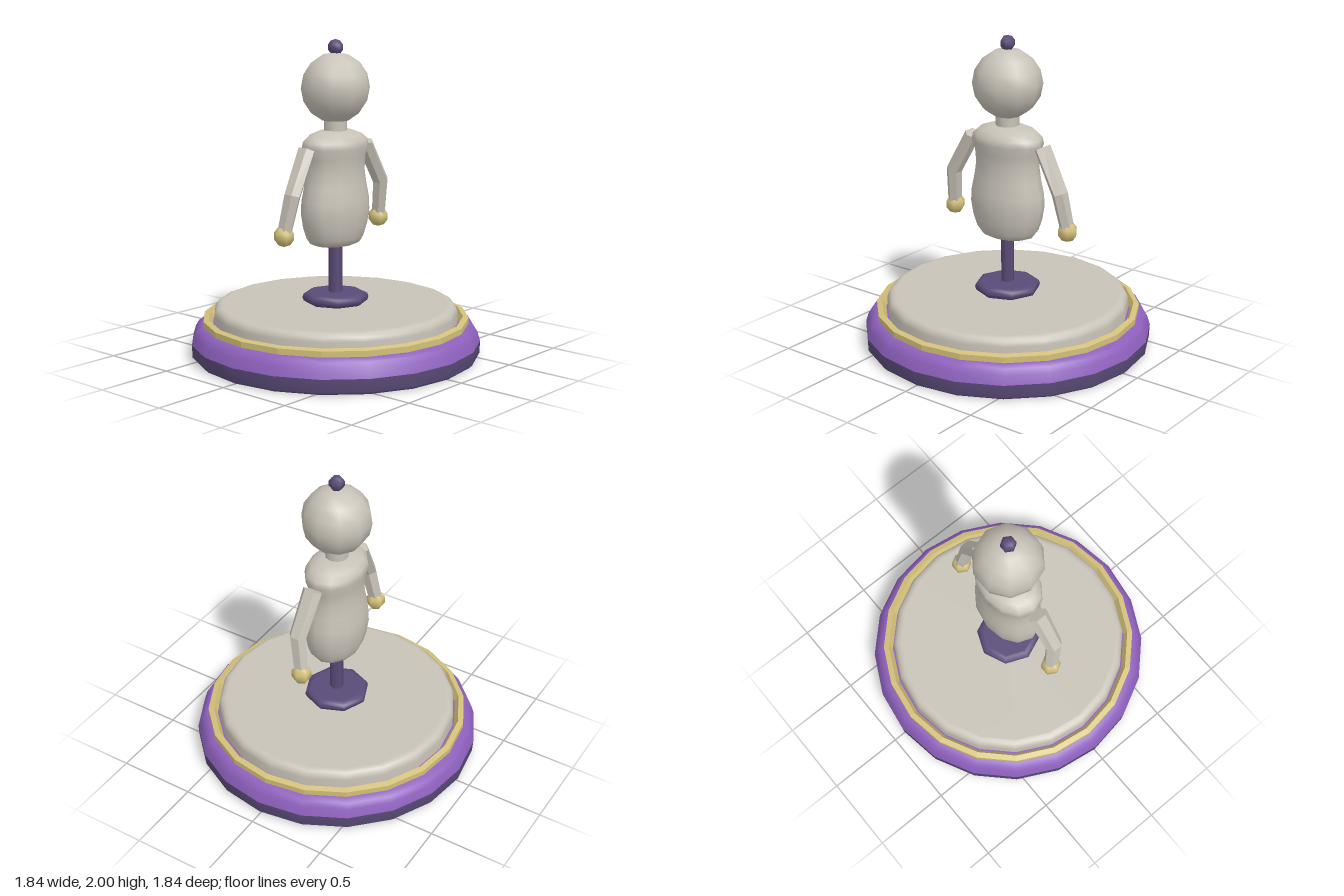
import * as THREE from 'three';

const mat = (name, color, flatShading = false) => {
  const m = new THREE.MeshStandardMaterial({ color, flatShading });
  m.name = name;
  return m;
};

// Turned solid from [radius, height] pairs, listed from bottom to top
const lathe = (points, sides) =>
  new THREE.LatheGeometry(points.map(([r, y]) => new THREE.Vector2(r, y)), sides);

// Six-sided arm swept through joints [x, y, z, half width, half depth]
function armGeometry(joints) {
  const sides = 6, pos = [], idx = [];
  joints.forEach((j, i) => {
    const dir = (a, b) => new THREE.Vector2(b[0] - a[0], b[1] - a[1]).normalize();
    const t = new THREE.Vector2();
    if (i > 0) t.add(dir(joints[i - 1], j));
    if (i < joints.length - 1) t.add(dir(j, joints[i + 1]));
    t.normalize();
    for (let k = 0; k < sides; k++) {
      const a = (k / sides) * Math.PI * 2;
      const w = Math.sin(a) * j[3] / Math.sin(Math.PI / 3);
      pos.push(j[0] - t.y * w, j[1] + t.x * w, j[2] + Math.cos(a) * j[4]);
    }
  });
  for (let i = 0; i < joints.length - 1; i++) {
    for (let k = 0; k < sides; k++) {
      const a = i * sides + k, b = i * sides + (k + 1) % sides;
      idx.push(a, a + sides, b, b, a + sides, b + sides);
    }
  }
  // End caps
  const last = (joints.length - 1) * sides;
  for (let k = 1; k < sides - 1; k++) {
    idx.push(0, k, k + 1, last, last + k + 1, last + k);
  }
  const g = new THREE.BufferGeometry();
  g.setAttribute('position', new THREE.Float32BufferAttribute(pos, 3));
  g.setIndex(idx);
  g.computeVertexNormals();
  return g;
}

export function createModel() {
  const model = new THREE.Group();
  const cream = mat('cream', 0xc8c3b8);
  const creamFaceted = cream.clone();
  creamFaceted.flatShading = true;
  creamFaceted.side = THREE.DoubleSide;
  const purple = mat('purple', 0x8e60bd);
  const darkPurple = mat('dark purple', 0x5a4b78);
  const gold = mat('gold', 0xd3c07a);
  const goldFaceted = gold.clone();
  goldFaceted.flatShading = true;

  const add = (name, geometry, material, x = 0, y = 0, z = 0) => {
    const mesh = new THREE.Mesh(geometry, material);
    mesh.name = name;
    mesh.position.set(x, y, z);
    model.add(mesh);
    return mesh;
  };

  // Round stand
  add('baseFoot', lathe([[0, 0], [0.88, 0], [0.9, 0.002], [0.918, 0.02], [0.922, 0.1]], 20), darkPurple);
  add('baseRim', lathe([[0.922, 0.1], [0.905, 0.155], [0.885, 0.19], [0.855, 0.21], [0.82, 0.211], [0, 0.211]], 20), purple);
  add('baseRing', lathe([[0.847, 0.2], [0.847, 0.247], [0.812, 0.256], [0.787, 0.21]], 20), goldFaceted);
  add('basePlate', lathe([[0.778, 0.2], [0.777, 0.28], [0.77, 0.305], [0.755, 0.322], [0.735, 0.33], [0.72, 0.331], [0, 0.331]], 20), cream);

  // Pole and its collar
  add('collar', lathe([[0, 0.33], [0.18, 0.332], [0.203, 0.343], [0.211, 0.366], [0.203, 0.388], [0.18, 0.399], [0.165, 0.4], [0, 0.4]], 8), darkPurple);
  const poleGeometry = new THREE.CylinderGeometry(0.044, 0.044, 0.4, 6).rotateY(Math.PI / 2);
  add('pole', poleGeometry, darkPurple, 0, 0.56);

  // Torso, flattened from front to back
  const torso = add('torso', lathe([
    [0, 0.71], [0.15, 0.711], [0.188, 0.725], [0.215, 0.76], [0.24, 0.83], [0.256, 0.92],
    [0.252, 1.0], [0.232, 1.09], [0.218, 1.18], [0.226, 1.27], [0.249, 1.33],
    [0.24, 1.37], [0.2, 1.405], [0.12, 1.434], [0, 1.436],
  ], 12), cream);
  torso.scale.z = 0.72;

  // Neck, head and top knob
  add('neck', new THREE.CylinderGeometry(0.074, 0.074, 0.1, 10).rotateY(Math.PI / 2), cream, 0, 1.465);
  add('head', new THREE.SphereGeometry(0.22, 10, 8), cream, 0, 1.7);
  add('topKnob', new THREE.SphereGeometry(0.05, 6, 5), darkPurple, 0, 1.95);

  // Bent arms with ball hands
  for (const side of [1, -1]) {
    const label = side > 0 ? 'left' : 'right';
    const joints = [
      [0.272, 1.335, 0.003, 0.039, 0.066],
      [0.418, 1.07, 0.02, 0.041, 0.058],
      [0.45, 0.82, -0.024, 0.036, 0.05],
    ].map(([x, ...rest]) => [x * side, ...rest]);
    add(label + 'Arm', armGeometry(joints), creamFaceted);
    add(label + 'Hand', new THREE.SphereGeometry(0.066, 6, 5), gold, 0.448 * side, 0.822, -0.023);
  }
  return model;
}
